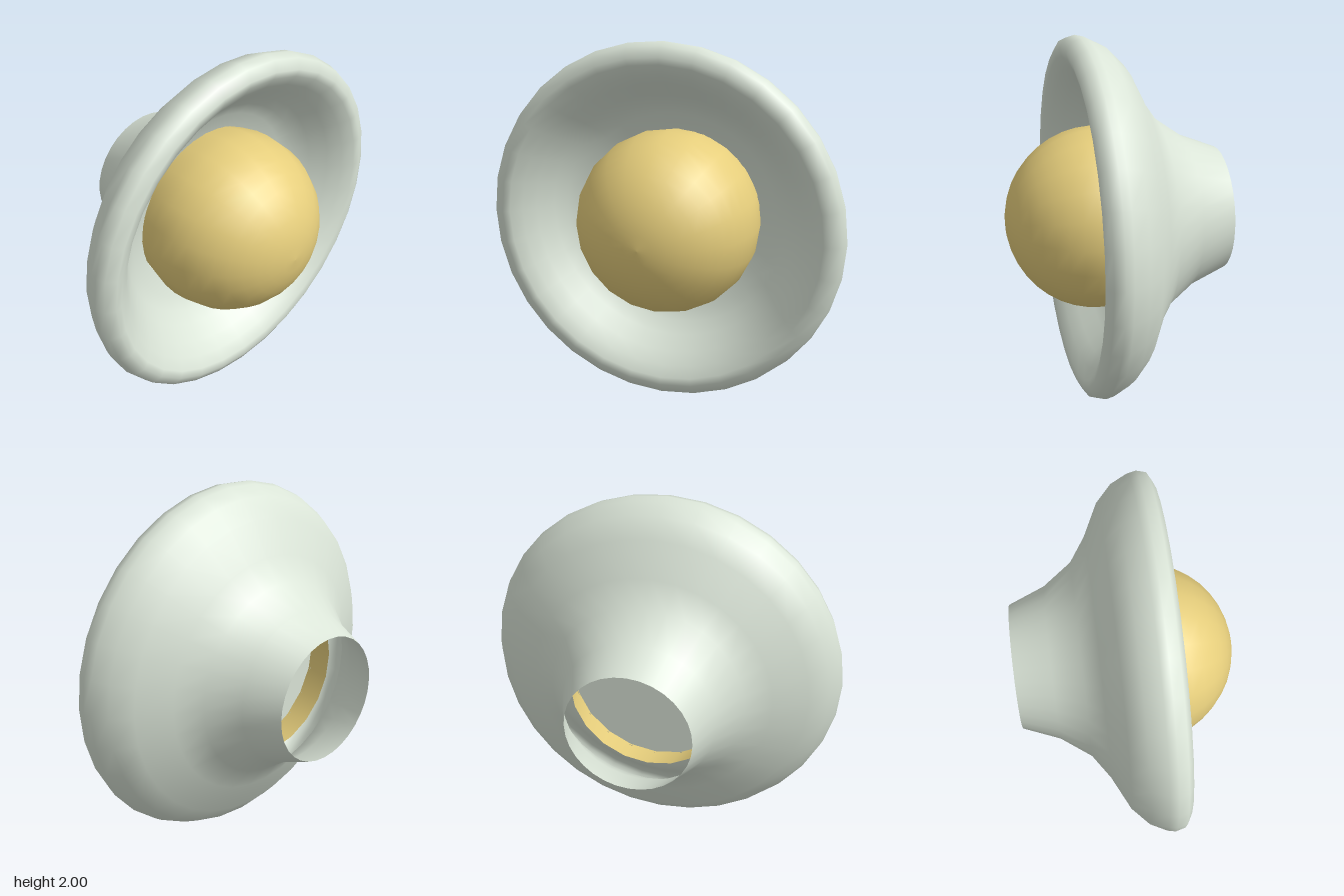
import * as THREE from 'three';

const shellMat = new THREE.MeshStandardMaterial({ color: 0xdae4d7, side: THREE.DoubleSide });
shellMat.name = 'pale grey green';
const goldMat = new THREE.MeshStandardMaterial({ color: 0xe6ce7c, side: THREE.DoubleSide });
goldMat.name = 'soft gold';

// Turns [radius, z] pairs around the z axis
function turned(name, profile, segments, material) {
  const points = profile.map(([r, z]) => new THREE.Vector2(r, z));
  const geometry = new THREE.LatheGeometry(points, segments);
  geometry.rotateX(Math.PI / 2);
  const mesh = new THREE.Mesh(geometry, material);
  mesh.name = name;
  return mesh;
}

export function createModel() {
  const group = new THREE.Group();
  group.name = 'domedHorn';

  // Flared outer shell, open at the back, rolling over the rim into a shallow bowl
  group.add(turned('flaredShell', [
    [0.345, -0.6], [0.425, -0.4], [0.54, -0.24], [0.67, -0.15], [0.85, -0.06],
    [0.945, 0.03], [0.99, 0.12], [1, 0.165], [0.985, 0.22], [0.93, 0.25],
    [0.89, 0.24], [0.83, 0.2], [0.77, 0.14], [0.7, 0.06], [0.64, 0], [0.57, -0.045], [0.475, -0.08],
  ], 32, shellMat));

  // Ball with a short collar reaching back behind the bowl
  const radius = 0.505;
  const centre = 0.093;
  const ball = [[0.44, -0.23]];
  const start = Math.acos((-0.06 - centre) / radius);
  for (let i = 0; i <= 12; i++) {
    const a = start * (1 - i / 12);
    ball.push([radius * Math.sin(a), centre + radius * Math.cos(a)]);
  }
  group.add(turned('ball', ball, 20, goldMat));

  // Plate closing the ball from behind
  const plate = new THREE.Mesh(new THREE.CircleGeometry(0.478, 20), shellMat);
  plate.name = 'backPlate';
  plate.rotation.y = Math.PI;
  plate.position.z = -0.065;
  group.add(plate);

  group.children.forEach((part) => { part.position.y = 1; });
  return group;
}
